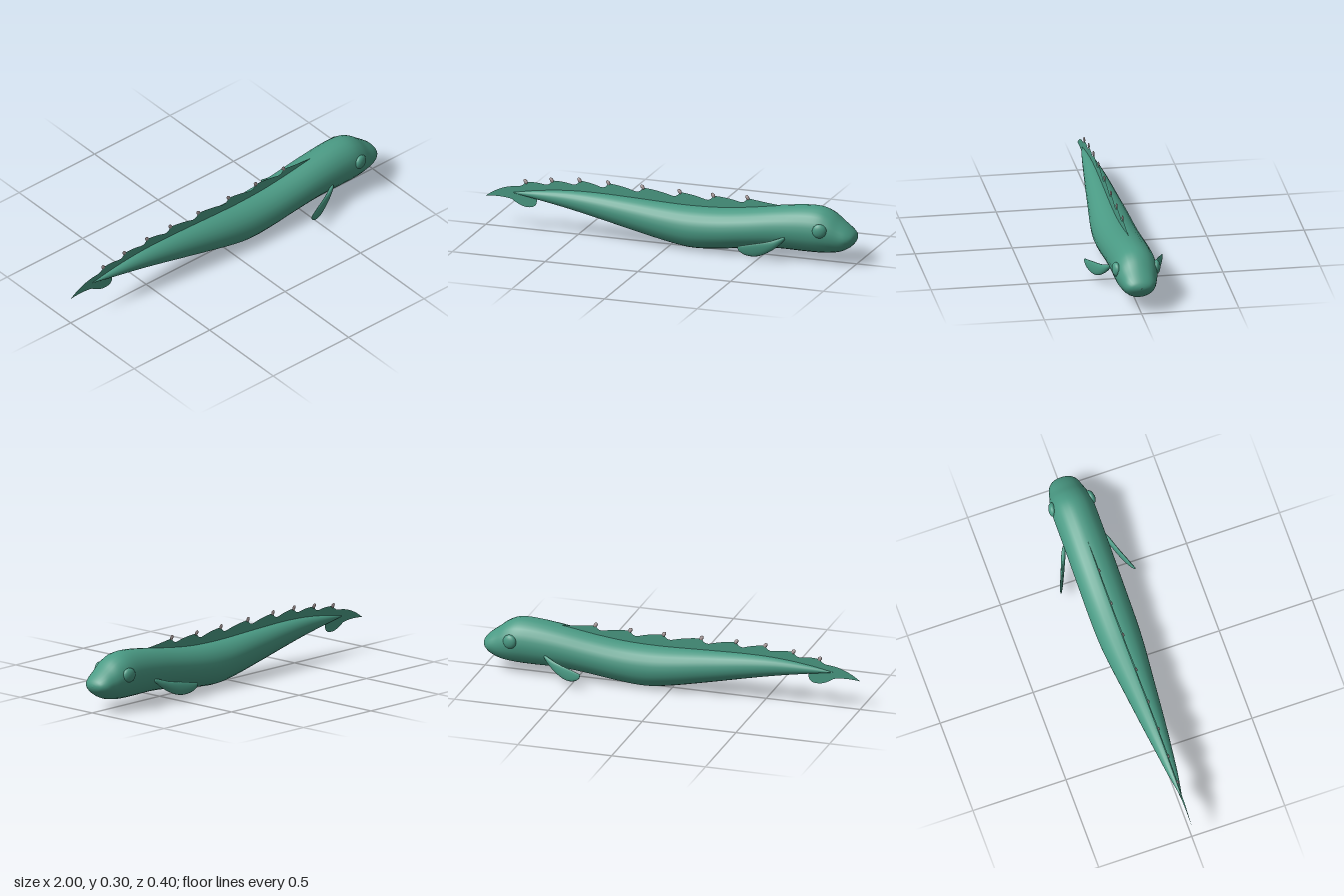
import * as THREE from 'three';

// Smooth skin over elliptical sections [x, top, bottom, halfWidth, zCentre], x increasing
function loft(sections, steps, sides) {
  const heights = new THREE.CatmullRomCurve3(
    sections.map(s => new THREE.Vector3(s[0], s[1], s[2])), false, 'catmullrom', 0.5);
  const widths = new THREE.CatmullRomCurve3(
    sections.map(s => new THREE.Vector3(s[0], s[3], s[4] || 0)), false, 'catmullrom', 0.5);
  const pos = [], index = [];
  for (let i = 0; i <= steps; i++) {
    const h = heights.getPoint(i / steps), w = widths.getPoint(i / steps);
    for (let j = 0; j < sides; j++) {
      const a = j / sides * Math.PI * 2;
      pos.push(h.x, (h.y + h.z) / 2 + Math.cos(a) * (h.y - h.z) / 2, w.z + Math.sin(a) * w.y);
      if (i === steps) continue;
      const k = (j + 1) % sides, r = i * sides, n = r + sides;
      index.push(r + j, r + k, n + j, r + k, n + k, n + j);
    }
  }
  const geo = new THREE.BufferGeometry();
  geo.setAttribute('position', new THREE.Float32BufferAttribute(pos, 3));
  geo.setIndex(index);
  geo.computeVertexNormals();
  return geo;
}

export function createModel() {
  const model = new THREE.Group();
  const skin = new THREE.MeshStandardMaterial({ color: 0x4a9a84 });
  skin.name = 'teal skin';
  const finSkin = skin.clone();
  finSkin.name = 'teal fin';
  finSkin.side = THREE.DoubleSide;
  const bone = new THREE.MeshStandardMaterial({ color: 0xb8a8a8 });
  bone.name = 'pale spine';

  const add = (name, geo, mat, parent = model) => {
    const mesh = new THREE.Mesh(geo, mat);
    mesh.name = name;
    parent.add(mesh);
    return mesh;
  };

  // Long body, from the tail point to the blunt snout
  add('body', loft([
    [-0.855, 0.188, 0.186, 0.001], [-0.72, 0.212, 0.165, 0.024], [-0.56, 0.229, 0.137, 0.044],
    [-0.4, 0.233, 0.104, 0.062], [-0.2, 0.228, 0.06, 0.082], [0, 0.221, 0.019, 0.102],
    [0.13, 0.22, 0.003, 0.11], [0.27, 0.226, 0.013, 0.112], [0.42, 0.243, 0.033, 0.112],
    [0.58, 0.268, 0.048, 0.112], [0.72, 0.286, 0.047, 0.112], [0.81, 0.286, 0.048, 0.111],
    [0.87, 0.264, 0.053, 0.103], [0.92, 0.226, 0.064, 0.09], [0.96, 0.195, 0.084, 0.077],
    [0.985, 0.172, 0.107, 0.056], [0.996, 0.155, 0.124, 0.03], [1, 0.141, 0.139, 0.001],
  ], 85, 24), skin);

  // Spine tips along the back, head to tail
  const tips = [[0.41, 0.29], [0.225, 0.283], [0.045, 0.284], [-0.155, 0.287],
    [-0.34, 0.29], [-0.495, 0.288], [-0.645, 0.272], [-0.785, 0.25]];

  // Scalloped dorsal fin running into the forked tail
  const fin = new THREE.Shape();
  fin.moveTo(0.62, 0.268);
  fin.quadraticCurveTo(0.52, 0.274, tips[0][0], tips[0][1]);
  tips.slice(1).forEach(([x, y], i) => {
    const [px, py] = tips[i];
    fin.quadraticCurveTo(px - 0.01, py - 0.028, px - 0.04, py - 0.024);
    fin.quadraticCurveTo((px + x) / 2 - 0.02, (py + y) / 2 - 0.003, x, y);
  });
  fin.quadraticCurveTo(-0.8, 0.225, -0.83, 0.224);
  fin.quadraticCurveTo(-0.92, 0.218, -1, 0.156);
  fin.quadraticCurveTo(-0.92, 0.166, -0.86, 0.153);
  fin.quadraticCurveTo(-0.81, 0.118, -0.775, 0.118);
  fin.quadraticCurveTo(-0.72, 0.116, -0.725, 0.165);
  fin.lineTo(-0.7, 0.19);
  fin.lineTo(0, 0.15);
  fin.lineTo(0.6, 0.22);
  add('dorsalAndTailFin', new THREE.ShapeGeometry(fin, 8), finSkin);

  const spines = new THREE.Group();
  spines.name = 'spines';
  model.add(spines);
  const spineGeo = new THREE.SphereGeometry(1, 10, 8);
  for (const [x, y] of tips) {
    const spine = add('spine', spineGeo, bone, spines);
    spine.scale.set(0.01, 0.014, 0.005);
    spine.position.set(x, y + 0.003, 0);
    spine.rotation.z = 0.6;
  }

  // Paired eyes and swept-back paddle fins
  const eyeGeo = new THREE.SphereGeometry(0.037, 20, 14);
  for (const side of [1, -1]) {
    const label = side > 0 ? 'front' : 'back';
    const eye = add(label + 'SideEye', eyeGeo, skin);
    eye.scale.z = 0.55;
    eye.position.set(0.835, 0.188, side * 0.103);
    eye.rotation.y = side * 0.2;

    const z = x => side * (0.108 + (0.645 - x) * 0.425);
    add(label + 'SidePaddleFin', loft([
      [0.428, 0.092, 0.088, 0.001], [0.435, 0.096, 0.07, 0.004], [0.46, 0.1, 0.05, 0.007],
      [0.5, 0.106, 0.039, 0.009], [0.54, 0.111, 0.044, 0.01], [0.58, 0.118, 0.063, 0.011],
      [0.615, 0.129, 0.088, 0.012], [0.645, 0.138, 0.118, 0.008], [0.65, 0.13, 0.128, 0.001],
    ].map(s => [...s, z(s[0])]), 32, 16), skin);
  }
  return model;
}
